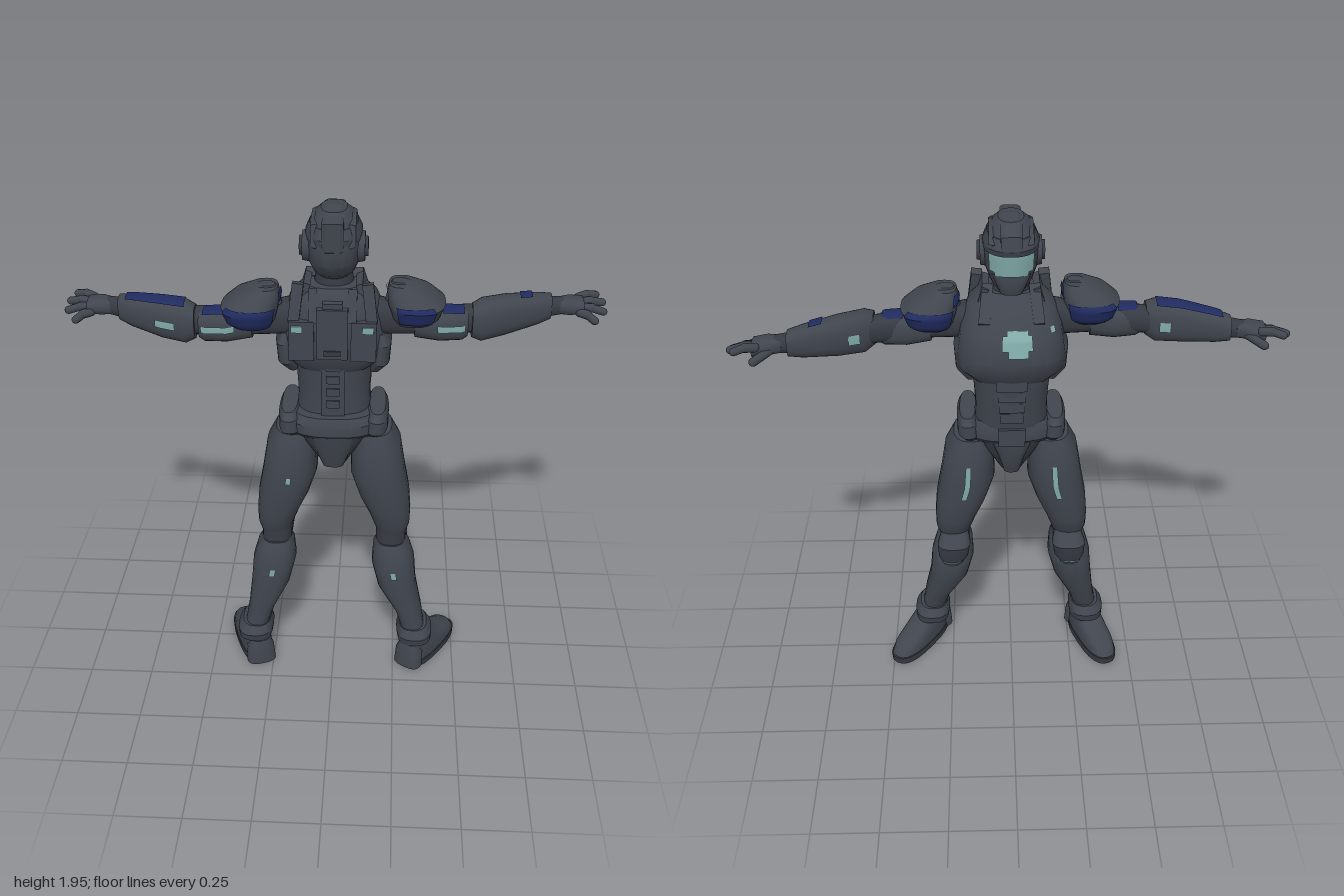
import * as THREE from 'three';
import { toCreasedNormals } from 'three/addons/utils/BufferGeometryUtils.js';

const mat = (name, color) => Object.assign(new THREE.MeshStandardMaterial({ color }), { name });
const PI = Math.PI, FRONT = -PI / 2, BACK = PI / 2;

// Point on a superellipse section [along, centreU, centreV, radiusU, radiusV].
function ringPoint(s, a, axis, p) {
  const f = (v) => Math.sign(v) * Math.abs(v) ** (2 / p);
  const u = s[1] + s[3] * f(Math.cos(a)), v = s[2] + s[4] * f(Math.sin(a));
  return axis === 'y' ? [u, s[0], v] : [s[0], v, u];
}

// Skin through sections along y or x; open when only an arc is asked for.
function loft(sections, { axis = 'y', p = 2.6, a0 = 0, a1 = 2 * PI, n = 24, caps = true } = {}) {
  const secs = [...sections].sort((a, b) => a[0] - b[0]);
  const pos = [], idx = [], row = n + 1, last = (secs.length - 1) * row;
  for (const s of secs) for (let i = 0; i <= n; i++) pos.push(...ringPoint(s, a0 + (a1 - a0) * i / n, axis, p));
  for (let j = 0; j < secs.length - 1; j++) for (let i = 0; i < n; i++) {
    const k = j * row + i;
    idx.push(k, k + row, k + 1, k + 1, k + row, k + row + 1);
  }
  if (caps) {
    const c = pos.length / 3;
    for (const s of [secs[0], secs[secs.length - 1]]) pos.push(...(axis === 'y' ? [s[1], s[0], s[2]] : [s[0], s[2], s[1]]));
    for (let i = 0; i < n; i++) idx.push(c, i, i + 1, c + 1, last + i + 1, last + i);
  }
  const g = new THREE.BufferGeometry();
  g.setAttribute('position', new THREE.Float32BufferAttribute(pos, 3));
  g.setIndex(idx);
  return toCreasedNormals(g, 0.6);
}

// Painted patch lying just above a loft, between two heights and two angles.
function patch(sections, from, to, mid, half, { axis = 'y', p = 2.6, lift = 0.005 } = {}) {
  const secs = [...sections].sort((a, b) => a[0] - b[0]);
  const at = (t) => {
    let j = 0;
    while (j < secs.length - 2 && t > secs[j + 1][0]) j++;
    const k = (t - secs[j][0]) / (secs[j + 1][0] - secs[j][0]);
    return secs[j].map((v, i) => v + (secs[j + 1][i] - v) * k + (i > 2 ? lift : 0));
  };
  const cuts = Array.from({ length: 9 }, (_, i) => at(from + (to - from) * i / 8));
  cuts.forEach((c, i) => { c[0] = from + (to - from) * i / 8; });
  return loft(cuts, { axis, p, a0: mid - half, a1: mid + half, n: 12, caps: false });
}

// Plate cut from a side profile of [z, y] points, centred on x.
function sideProfile(points, width) {
  const g = new THREE.ExtrudeGeometry(new THREE.Shape(points.map((q) => new THREE.Vector2(...q))), {
    depth: width, bevelEnabled: true, bevelSize: 0.006, bevelThickness: 0.012, bevelSegments: 1 });
  return g.translate(0, 0, -width / 2).rotateY(-PI / 2);
}

export function createModel() {
  const model = new THREE.Group();
  const armor = mat('armor slate', 0x40454e), suit = mat('undersuit', 0x363a42);
  const blue = mat('navy trim', 0x202b60), teal = mat('teal light', 0x80aaa8);
  const add = (name, geometry, material, parent = model) => {
    const m = new THREE.Mesh(geometry, material);
    m.name = name;
    parent.add(m);
    return m;
  };
  const box = (name, w, h, d, x, y, z, material = armor, rx = 0, ry = 0, rz = 0) => {
    const m = add(name, new THREE.BoxGeometry(w, h, d), material);
    m.position.set(x, y, z);
    m.rotation.set(rx, ry, rz);
  };
  const rod = (name, a, b, r, material) => {
    const A = new THREE.Vector3(...a), B = new THREE.Vector3(...b), d = B.clone().sub(A);
    const m = add(name, new THREE.CapsuleGeometry(r, d.length(), 4, 10), material);
    m.position.copy(A).add(B).multiplyScalar(0.5);
    m.quaternion.setFromUnitVectors(new THREE.Vector3(0, 1, 0), d.normalize());
  };

  // Helmet, facing -z
  const helmet = [[1.695, 0, -0.01, 0.05, 0.08], [1.725, 0, 0.01, 0.075, 0.105], [1.77, 0, 0.022, 0.093, 0.124],
    [1.83, 0, 0.02, 0.096, 0.13], [1.88, 0, 0.015, 0.092, 0.128], [1.92, 0, 0.016, 0.073, 0.104], [1.945, 0, 0.015, 0.045, 0.07]];
  add('helmet', loft(helmet, { p: 2.3 }), armor);
  add('visor', patch(helmet, 1.778, 1.846, FRONT, 0.85, { p: 2.3 }), teal);
  add('visorLowerEdge', patch(helmet, 1.765, 1.779, FRONT, 0.6, { p: 2.3 }), teal);
  add('brow', loft([[1.845, 0, 0.013, 0.099, 0.135], [1.865, 0, 0.012, 0.1, 0.14], [1.9, 0, 0.015, 0.085, 0.12]], { p: 2.3 }), armor);
  add('chinGuard', loft([[1.69, 0, -0.055, 0.04, 0.035], [1.73, 0, -0.064, 0.055, 0.04], [1.764, 0, -0.055, 0.07, 0.043]]), armor);
  add('crest', sideProfile([[-0.12, 1.87], [-0.11, 1.91], [-0.06, 1.937], [0.02, 1.946], [0.1, 1.93], [0.15, 1.925],
    [0.145, 1.83], [0.1, 1.8], [0, 1.86]], 0.05), armor);
  for (const s of [-1, 1]) {
    add('crestRib', sideProfile([[-0.09, 1.88], [-0.04, 1.915], [0.04, 1.922], [0.1, 1.905], [0.125, 1.84], [0, 1.84]], 0.008), armor)
      .position.x = s * 0.062;
    for (const [name, r, x, m] of [['earDisc', 0.058, 0.094, armor], ['earHub', 0.038, 0.105, suit]]) {
      const e = add(name, new THREE.CylinderGeometry(r * 0.9, r, 0.03, 24), m);
      e.position.set(s * x, 1.81, 0.036);
      e.rotation.z = -s * PI / 2;
    }
  }
  add('neck', new THREE.CylinderGeometry(0.06, 0.08, 0.14, 20), suit).position.set(0, 1.68, 0.02);

  // Torso
  const chest = [[1.36, 0, -0.01, 0.15, 0.135], [1.4, 0, -0.012, 0.195, 0.16], [1.46, 0, -0.015, 0.2, 0.175],
    [1.55, 0, 0, 0.185, 0.165], [1.63, 0, 0.025, 0.155, 0.125], [1.68, 0, 0.03, 0.1, 0.085]];
  add('chestArmor', loft(chest), armor);
  add('chestLight', patch(chest, 1.515, 1.565, FRONT - 0.09, 0.2), teal);
  add('chestLightTop', patch(chest, 1.564, 1.58, FRONT - 0.09, 0.13), teal);
  add('chestLightBase', patch(chest, 1.49, 1.516, FRONT - 0.09, 0.12), teal);
  add('chestSideLight', patch(chest, 1.56, 1.58, FRONT - 0.85, 0.08), teal);
  const abs = [[1.14, 0, 0, 0.14, 0.12], [1.24, 0, -0.01, 0.135, 0.125], [1.32, 0, -0.015, 0.14, 0.135], [1.4, 0, -0.015, 0.15, 0.14]];
  add('abdomen', loft(abs), armor);
  for (let i = 0; i < 4; i++) box('abPlate', 0.11 - i * 0.008, 0.04, 0.025, 0, 1.36 - i * 0.048, -0.143 + i * 0.007);
  box('spine', 0.085, 0.24, 0.026, 0, 1.3, 0.115);
  for (let i = 0; i < 4; i++) box('spineSegment', 0.05, 0.03, 0.01, 0, 1.23 + i * 0.05, 0.128);
  box('backPack', 0.11, 0.19, 0.035, 0, 1.53, 0.157);
  box('backPackCap', 0.07, 0.05, 0.05, 0, 1.62, 0.14);
  box('backVent', 0.06, 0.02, 0.008, 0, 1.46, 0.176, suit);
  for (const s of [-1, 1]) {
    box('backPanel', 0.09, 0.15, 0.04, s * 0.11, 1.5, 0.146);
    box('backLight', 0.04, 0.024, 0.008, s * 0.125, 1.548, 0.169, teal);
    box('shoulderPost', 0.04, 0.14, 0.04, s * 0.13, 1.63, 0.12, armor, -0.2, 0, s * 0.12);
    box('backStrap', 0.03, 0.12, 0.035, s * 0.07, 1.62, 0.125, armor, -0.4);
    box('collarStrap', 0.04, 0.15, 0.035, s * 0.09, 1.64, -0.06, armor, 0.75, 0, s * 0.1);
    box('collarSide', 0.025, 0.06, 0.15, s * 0.1, 1.665, 0.03, armor, 0, 0, s * 0.3);
    add('sideRib', loft([[1.33, s * 0.15, 0.01, 0.02, 0.05], [1.38, s * 0.17, 0.02, 0.035, 0.09], [1.46, s * 0.178, 0.02, 0.032, 0.1],
      [1.5, s * 0.17, 0.02, 0.02, 0.08]]), armor);
  }

  // Belt and pelvis
  add('belt', loft([[1.09, 0, 0.02, 0.165, 0.13], [1.11, 0, 0.022, 0.18, 0.148], [1.15, 0, 0.022, 0.18, 0.15], [1.18, 0, 0.02, 0.16, 0.135]]), armor);
  add('pelvis', loft([[0.93, 0, 0.02, 0.045, 0.06], [0.98, 0, 0.02, 0.07, 0.1], [1.05, 0, 0.02, 0.12, 0.125], [1.11, 0, 0.02, 0.16, 0.13]]), suit);
  box('buckle', 0.1, 0.07, 0.025, 0, 1.13, -0.122);
  add('groinPlate', loft([[0.95, 0, -0.06, 0.03, 0.03], [1.03, 0, -0.08, 0.05, 0.04], [1.1, 0, -0.08, 0.08, 0.045]]), armor);
  add('seatPlate', loft([[0.95, 0, 0.09, 0.04, 0.03], [1.03, 0, 0.115, 0.065, 0.03], [1.1, 0, 0.115, 0.09, 0.045]]), armor);

  for (const s of [-1, 1]) {
    const side = (a) => (s > 0 ? a : PI - a);
    const mirrored = (list) => list.map(([y, x, ...rest]) => [y, s * x, ...rest]);
    const part = (name, list, m = armor) => add(name, loft(mirrored(list)), m);
    part('hipPod', [[1.095, 0.155, 0.02, 0.035, 0.11], [1.115, 0.16, 0.022, 0.046, 0.135], [1.165, 0.163, 0.022, 0.043, 0.135],
      [1.19, 0.165, 0.02, 0.03, 0.11]]);

    // Leg
    const thigh = mirrored([[0.615, 0.23, 0.022, 0.058, 0.08], [0.66, 0.229, 0.018, 0.072, 0.105], [0.72, 0.218, 0.016, 0.084, 0.118],
      [0.8, 0.196, 0.018, 0.099, 0.13], [0.9, 0.17, 0.016, 0.106, 0.136], [1.02, 0.162, 0.015, 0.094, 0.13], [1.09, 0.15, 0.015, 0.07, 0.105]]);
    add('thighArmor', loft(thigh), armor);
    add('thighLight', patch(thigh, 0.84, 0.99, FRONT, 0.05), teal);
    if (s < 0) add('thighBackLight', patch(thigh, 0.887, 0.915, BACK, 0.045), teal);
    part('knee', [[0.52, 0.23, 0.04, 0.06, 0.075], [0.67, 0.225, 0.035, 0.058, 0.075]], suit);
    const kneeCap = mirrored([[0.47, 0.242, -0.03, 0.03, 0.03], [0.53, 0.235, -0.045, 0.06, 0.048], [0.6, 0.23, -0.065, 0.066, 0.055],
      [0.655, 0.225, -0.04, 0.05, 0.04]]);
    add('kneeCap', loft(kneeCap), armor);
    add('kneeLight', patch(kneeCap, 0.5, 0.515, FRONT, 0.8), teal);
    const shift = s > 0 ? 0.015 : 0.003;
    const shin = mirrored([[0.17, 0.315 + shift, 0.09, 0.047, 0.068], [0.26, 0.292 + shift, 0.075, 0.054, 0.082], [0.38, 0.257, 0.057, 0.078, 0.1],
      [0.48, 0.24, 0.047, 0.086, 0.11], [0.55, 0.232, 0.05, 0.074, 0.09], [0.585, 0.228, 0.055, 0.055, 0.065]]);
    add('shinArmor', loft(shin), armor);
    add('calfLight', patch(shin, 0.448, 0.48, BACK, 0.07), teal);
    part('ankleCuff', [[0.12, 0.322 + shift, 0.085, 0.07, 0.09], [0.155, 0.32 + shift, 0.085, 0.073, 0.1], [0.19, 0.314 + shift, 0.085, 0.057, 0.078]]);

    // Boot, toes turned outward
    const foot = new THREE.Group();
    foot.name = 'boot';
    foot.position.set(s * (s > 0 ? 0.345 : 0.32), 0, 0.1);
    foot.rotation.y = s > 0 ? -0.58 : 0.36;
    model.add(foot);
    add('sole', loft([[0, 0, -0.088, 0.066, 0.17], [0.03, 0, -0.088, 0.067, 0.173]]), suit, foot);
    add('bootUpper', loft([[0.03, 0, -0.086, 0.064, 0.168], [0.06, 0, -0.077, 0.063, 0.155], [0.09, 0, -0.04, 0.058, 0.118],
      [0.13, 0, 0, 0.05, 0.075], [0.17, 0, 0.01, 0.045, 0.06]]), armor, foot);
    add('heelGuard', loft([[0.01, 0, 0.055, 0.06, 0.038], [0.08, 0, 0.05, 0.055, 0.04], [0.12, 0, 0.05, 0.038, 0.03]]), armor, foot);

    // Arm, swept slightly differently on each side
    const path = s > 0 ? [[0.2, 0.03], [0.47, 0.02], [0.67, -0.07], [0.8, -0.12], [1, -0.15]]
      : [[0.2, 0.05], [0.47, 0.075], [0.64, 0.03], [0.82, -0.045], [1, -0.065]];
    const zAt = (x) => {
      let j = 0;
      while (j < 3 && x > path[j + 1][0]) j++;
      const [[x0, z0], [x1, z1]] = [path[j], path[j + 1]];
      return z0 + (z1 - z0) * (x - x0) / (x1 - x0);
    };
    const X = { axis: 'x' };
    const armSecs = (list) => list.map(([x, y, rz, ry]) => [s * x, zAt(x), y, rz, ry]);
    const armPatch = (name, secs, a, b, mid, half, m) => add(name, patch(secs, Math.min(s * a, s * b), Math.max(s * a, s * b), mid, half, X), m);
    add('innerArm', loft(armSecs([[0.15, 1.55, 0.065, 0.065], [0.35, 1.53, 0.048, 0.048], [0.55, 1.525, 0.048, 0.05]]), X), suit);
    const upper = armSecs([[0.29, 1.53, 0.055, 0.06], [0.38, 1.518, 0.064, 0.06], [0.46, 1.518, 0.058, 0.057], [0.48, 1.52, 0.048, 0.048]]);
    add('upperArmArmor', loft(upper, X), armor);
    armPatch('upperArmLight', upper, s > 0 ? 0.37 : 0.35, 0.47, 0.03, 0.12, teal);
    armPatch('upperArmTrim', upper, 0.39, 0.465, PI / 2, 0.6, blue);
    const fore = armSecs([[0.495, 1.525, 0.052, 0.06], [0.53, 1.522, 0.066, 0.077], [0.62, 1.525, 0.064, 0.073],
      [0.74, 1.528, 0.053, 0.057], [0.79, 1.53, 0.042, 0.046]]);
    add('forearmArmor', loft(fore, X), armor);
    if (s < 0) {
      armPatch('forearmTrim', fore, 0.53, 0.76, PI / 2, 0.55, blue);
      armPatch('forearmLight', fore, 0.565, 0.64, 0, 0.11, teal);
    } else armPatch('forearmTrim', fore, 0.67, 0.715, PI / 2, 0.4, blue);
    armPatch('forearmFrontLight', fore, 0.54, 0.58, PI, 0.15, teal);

    // Hand with spread fingers
    add('wrist', loft(armSecs([[0.77, 1.53, 0.035, 0.036], [0.84, 1.53, 0.033, 0.03]]), X), suit);
    add('palm', loft(armSecs([[0.81, 1.53, 0.032, 0.028], [0.86, 1.53, 0.048, 0.032], [0.91, 1.527, 0.05, 0.027]]), X), armor);
    const pz = zAt(0.88);
    [[0.965, 1.54, -0.07], [0.985, 1.527, -0.03], [0.985, 1.51, 0.015], [0.95, 1.492, 0.06]].forEach(([x, y, dz], i) => {
      const base = [s * 0.895, 1.54 - i * 0.008, pz + (i - 1.5) * 0.026], tip = [s * x, y, pz + dz];
      const knuckle = base.map((v, k) => (v + tip[k]) / 2 + (k === 1 ? 0.007 : 0));
      rod('finger', base, knuckle, 0.017, armor);
      rod('fingertip', knuckle, tip, 0.015, armor);
    });
    rod('thumb', [s * 0.85, 1.52, pz - 0.025], [s * 0.9, 1.505, pz - 0.08], 0.016, armor);

    // Shoulder shell with navy trim
    const sz = s > 0 ? 0.025 : 0.075;
    const shell = mirrored([[1.535, 0.285, sz, 0.065, 0.085], [1.56, 0.292, sz, 0.088, 0.112], [1.605, 0.295, sz, 0.103, 0.125],
      [1.645, 0.27, sz, 0.082, 0.098], [1.675, 0.24, sz, 0.045, 0.06]]);
    add('shoulderShell', loft(shell), armor);
    add('shoulderBackTrim', patch(shell, s > 0 ? 1.555 : 1.54, 1.62, BACK, s > 0 ? 0.6 : 0.95), blue);
    add('shoulderFrontTrim', patch(shell, 1.545, 1.62, FRONT, 0.85), blue);
    add('shoulderInnerTrim', patch(shell, 1.63, 1.665, side(PI + (s > 0 ? 0.4 : 0)), 0.4), blue);
    add('shoulderRidge', loft(mirrored([[1.61, 0.27, sz, 0.088, 0.045], [1.665, 0.25, sz, 0.055, 0.035], [1.68, 0.235, sz, 0.03, 0.025]])), armor);
  }
  return model;
}
